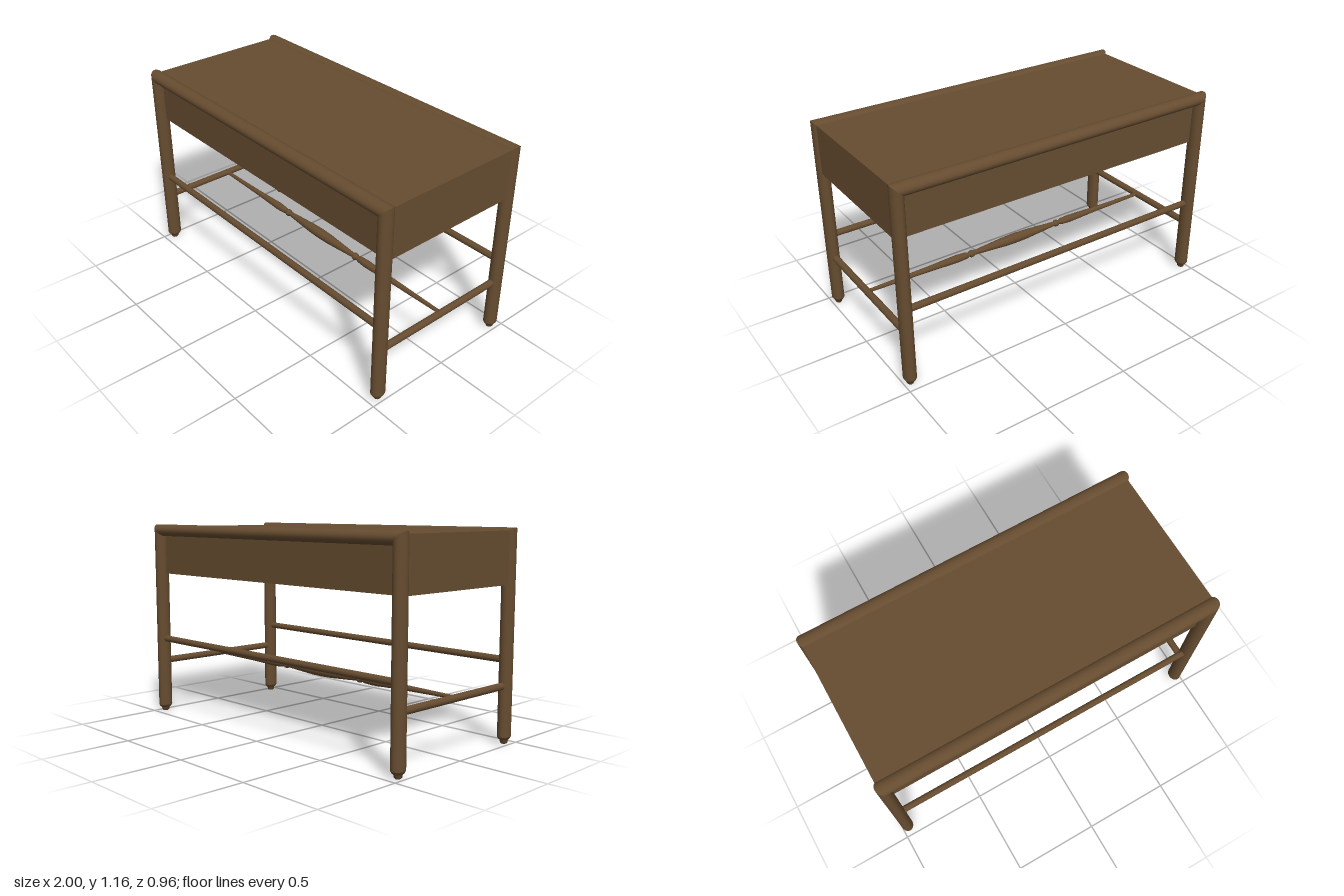
import * as THREE from 'three';

const LEG_X = 0.965, LEG_Z = 0.438, RAIL_Y = 1.13;
const HALF = 0.035, DEPTH = 0.042; // oval section of legs and top rails

export function createModel() {
  const model = new THREE.Group();
  const wood = new THREE.MeshStandardMaterial({ color: 0x664c30 });
  wood.name = 'brown wood';
  const cover = new THREE.MeshStandardMaterial({ color: 0x664c30, side: THREE.DoubleSide });
  cover.name = 'brown cover';

  const add = (name, geometry, material, x = 0, y = 0, z = 0) => {
    const mesh = new THREE.Mesh(geometry, material);
    mesh.name = name;
    mesh.position.set(x, y, z);
    model.add(mesh);
    return mesh;
  };

  // Oval leg whose top is mitred at 45 degrees against the rail (built for +x)
  const legGeometry = (side) => {
    const g = new THREE.CylinderGeometry(1, 1, 1, 24, 1, true).scale(HALF, 1, DEPTH);
    const p = g.attributes.position;
    for (let i = 0; i < p.count; i++) {
      p.setY(i, p.getY(i) > 0 ? RAIL_Y + side * p.getX(i) : 0.04);
    }
    return g;
  };

  // Matching top rail, mitred at both ends
  const railGeometry = () => {
    const g = new THREE.CylinderGeometry(1, 1, 1, 24, 1, true).rotateZ(Math.PI / 2).scale(1, HALF, DEPTH);
    const p = g.attributes.position;
    for (let i = 0; i < p.count; i++) {
      p.setX(i, Math.sign(p.getX(i)) * (LEG_X + p.getY(i)));
    }
    return g;
  };

  // Turned foot: rounded shoulder and small peg
  const footProfile = [[0, 0], [0.016, 0], [0.022, 0.006], [0.026, 0.023], [0.034, 0.027], [0.042, 0.04]]
    .map(([r, y]) => new THREE.Vector2(r, y));
  const footGeometry = new THREE.LatheGeometry(footProfile, 24).scale(HALF / DEPTH, 1, 1);

  for (const sz of [-1, 1]) {
    const where = sz > 0 ? 'front' : 'back';
    for (const sx of [-1, 1]) {
      const hand = sx > 0 ? 'Left' : 'Right';
      add(where + hand + 'Leg', legGeometry(sx), wood, sx * LEG_X, 0, sz * LEG_Z);
      add(where + hand + 'Foot', footGeometry, wood, sx * LEG_X, 0, sz * LEG_Z);
    }
    add(where + 'TopRail', railGeometry(), wood, 0, RAIL_Y, sz * LEG_Z);
    // Long stretcher
    add(where + 'Stretcher', new THREE.CylinderGeometry(0.019, 0.019, 2 * LEG_X, 16).rotateZ(Math.PI / 2),
      wood, 0, 0.46, sz * LEG_Z);
    // Long apron
    add(where + 'Apron', new THREE.PlaneGeometry(1.97, 0.285).rotateY(sz > 0 ? 0 : Math.PI),
      cover, 0, 1.0075, sz * 0.43);
  }

  for (const sx of [-1, 1]) {
    const hand = sx > 0 ? 'left' : 'right';
    // End stretcher
    add(hand + 'EndStretcher', new THREE.CylinderGeometry(0.02, 0.02, 2 * LEG_Z, 16).rotateX(Math.PI / 2),
      wood, sx * LEG_X, 0.32, 0);
    // End apron
    add(hand + 'EndApron', new THREE.PlaneGeometry(0.86, 0.285).rotateY(sx * Math.PI / 2),
      cover, sx * 0.985, 1.0075, 0);
  }

  // Seat sheet, open underneath
  add('seat', new THREE.PlaneGeometry(1.97, 0.86).rotateX(-Math.PI / 2), cover, 0, 1.15, 0);

  // Turned centre spindle, mirrored about its middle
  const half = [[0.965, 0.01], [0.6, 0.016], [0.4, 0.023], [0.34, 0.019], [0.322, 0.012],
    [0.312, 0.021], [0.298, 0.021], [0.285, 0.014], [0.2, 0.02], [0.08, 0.028]];
  const profile = [
    ...half.map(([d, r]) => new THREE.Vector2(r, -d)),
    new THREE.Vector2(0.03, 0),
    ...half.slice().reverse().map(([d, r]) => new THREE.Vector2(r, d)),
  ];
  add('centreSpindle', new THREE.LatheGeometry(profile, 16).rotateZ(Math.PI / 2), wood, 0, 0.322, 0);

  return model;
}
